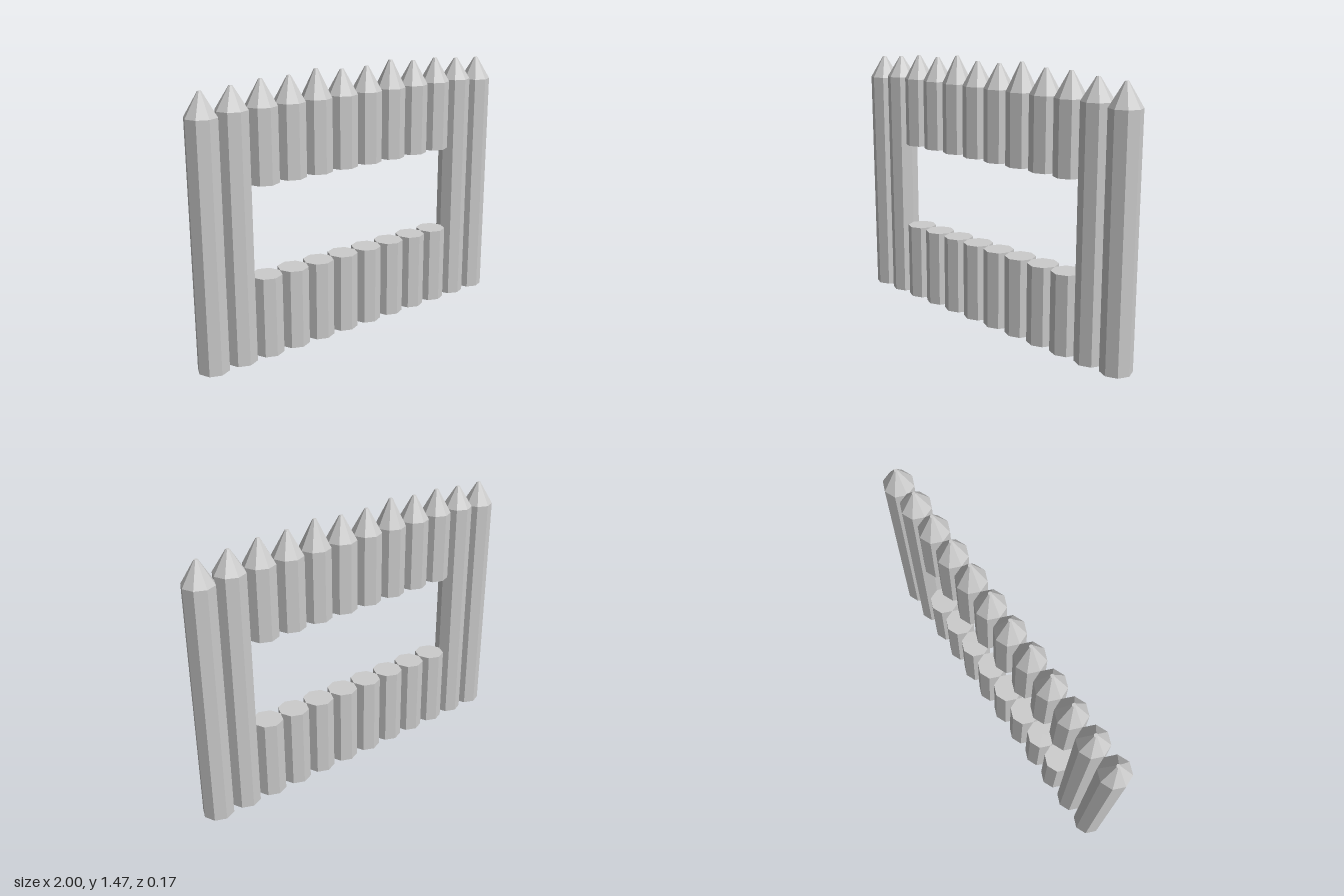
import * as THREE from 'three';

const RADIUS = 1 / 12;       // posts touch: 12 posts over 2 units
const TIP_RADIUS = 0.01;
const SILL = 0.436, LINTEL = 0.928; // lower and upper edge of the window opening

export function createModel() {
  const material = new THREE.MeshStandardMaterial({ color: 0xcccccc, flatShading: true });
  const fence = new THREE.Group();
  fence.name = 'palisadeWall';

  // Eight-sided log with closed ends; a tip height sharpens it
  function addLog(name, x, bottom, top, tip) {
    const profile = [[0, bottom], [RADIUS, bottom], [RADIUS, top]];
    if (tip) profile.push([TIP_RADIUS, tip], [0, tip]);
    else profile.push([0, top]);
    const geometry = new THREE.LatheGeometry(profile.map(([r, y]) => new THREE.Vector2(r, y)), 8);
    const log = new THREE.Mesh(geometry, material);
    log.name = name;
    log.position.x = x;
    fence.add(log);
  }

  // Shoulder and tip heights from the centre outwards, mirrored to both sides
  const heights = [[1.315, 1.447], [1.315, 1.465], [1.315, 1.447], [1.315, 1.447], [1.315, 1.432], [1.3, 1.423]];
  for (const side of [-1, 1]) {
    heights.forEach(([shoulder, tip], i) => {
      const x = side * (2 * i + 1) * RADIUS;
      const label = (side > 0 ? 'left' : 'right') + (i + 1);
      if (i < 4) {
        // Posts cut by the window opening
        addLog(`lowerPost_${label}`, x, 0, SILL);
        addLog(`upperPost_${label}`, x, LINTEL, shoulder, tip);
      } else {
        addLog(`fullPost_${label}`, x, 0, shoulder, tip);
      }
    });
  }
  return fence;
}
